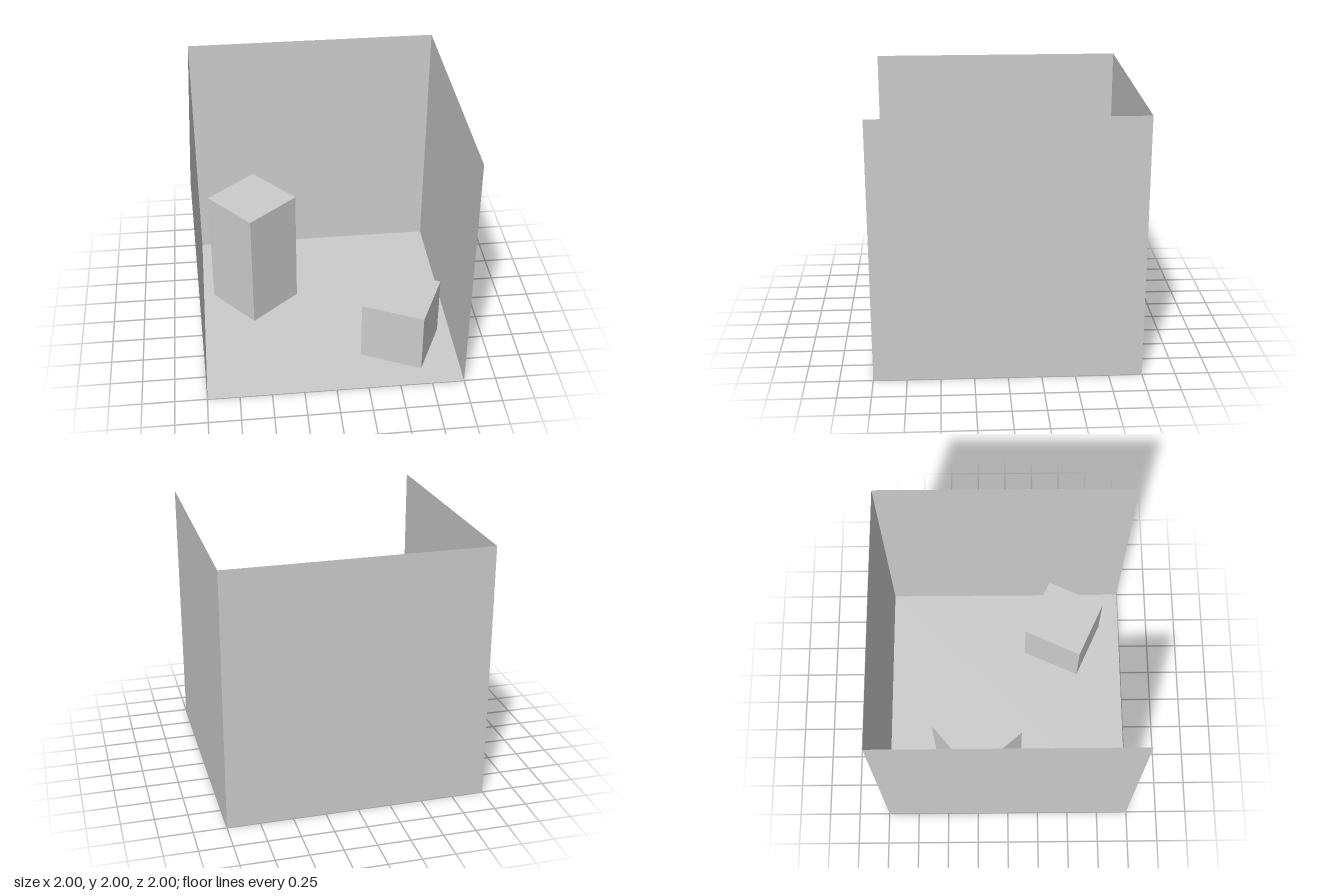
import * as THREE from 'three';

const SIZE = 2;

export function createModel() {
  const room = new THREE.Group();
  room.name = 'openRoom';

  const panelMaterial = new THREE.MeshStandardMaterial({ color: 0xcccccc, side: THREE.DoubleSide });
  const blockMaterial = new THREE.MeshStandardMaterial({ color: 0xcccccc });

  // Paper-thin square panel, facing into the room
  function addPanel(name, position, rotation) {
    const panel = new THREE.Mesh(new THREE.PlaneGeometry(SIZE, SIZE), panelMaterial);
    panel.name = name;
    panel.position.set(...position);
    panel.rotation.set(...rotation);
    room.add(panel);
  }

  // Block standing on the floor, turned about its vertical axis
  function addBlock(name, width, height, x, z, degrees) {
    const geometry = new THREE.BoxGeometry(width, height, width).translate(0, height / 2, 0);
    const block = new THREE.Mesh(geometry, blockMaterial);
    block.name = name;
    block.position.set(x, 0, z);
    block.rotation.y = THREE.MathUtils.degToRad(degrees);
    room.add(block);
  }

  // Floor and three walls; the front and the top stay open
  const half = SIZE / 2;
  addPanel('floor', [0, 0, 0], [-Math.PI / 2, 0, 0]);
  addPanel('backWall', [0, half, -half], [0, 0, 0]);
  addPanel('leftWall', [half, half, 0], [0, -Math.PI / 2, 0]);
  addPanel('rightWall', [-half, half, 0], [0, Math.PI / 2, 0]);

  // Two square blocks inside
  addBlock('tallBlock', 0.5, 1, -0.56, -0.24, 40);
  addBlock('shortBlock', 0.5, 0.5, 0.57, 0.495, -25);

  return room;
}
